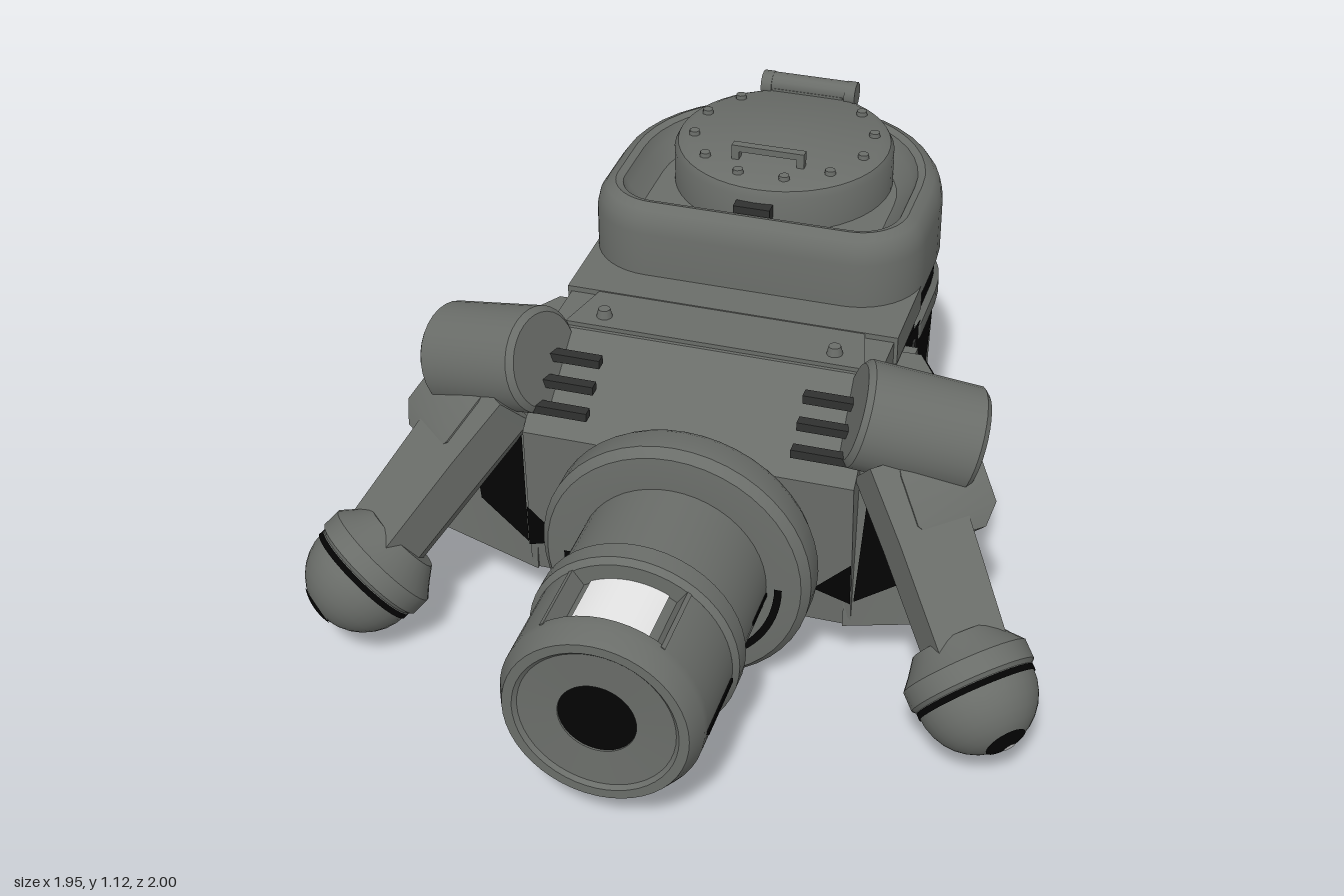
import * as THREE from 'three';
import { toCreasedNormals } from 'three/addons/utils/BufferGeometryUtils.js';

const mat = (name, color, side = THREE.FrontSide) => {
  const m = new THREE.MeshStandardMaterial({ color, side });
  m.name = name;
  return m;
};
const V = (x, y, z) => new THREE.Vector3(x, y, z);

export function createModel() {
  const grey = mat('armourGrey', 0x6a6d69);
  const dark = mat('baseDark', 0x303130);
  const black = mat('sootBlack', 0x030303, THREE.DoubleSide);
  const white = mat('lensWhite', 0xe8e8e8);
  const model = new THREE.Group();

  const add = (name, geo, m = grey, pos = [0, 0, 0], parent = model) => {
    const mesh = new THREE.Mesh(geo, m);
    mesh.name = name;
    mesh.position.set(...pos);
    parent.add(mesh);
    return mesh;
  };
  const box = (name, w, h, d, pos, m = grey, parent = model) =>
    add(name, new THREE.BoxGeometry(w, h, d), m, pos, parent);
  const lathe = (pts, seg = 48) => toCreasedNormals(
    new THREE.LatheGeometry(pts.map(p => new THREE.Vector2(p[0], p[1])), seg), 0.6);
  // Triangles between rings of equal length, wound outward from bottom to top
  const skin = rings => {
    const n = rings[0].length, index = [];
    for (let k = 0; k < rings.length - 1; k++) for (let j = 0; j < n; j++) {
      const a = k * n + j, b = k * n + (j + 1) % n;
      index.push(a, b, b + n, a, b + n, a + n);
    }
    const g = new THREE.BufferGeometry().setFromPoints(rings.flat());
    g.setIndex(index);
    return toCreasedNormals(g, 0.6);
  };
  // Rounded plan outline lofted through [inset, y] pairs, closed at both ends
  const loft = (w, zf, zb, rf, rb, profile) => {
    const corners = [[w - rf, zf - rf, rf], [w - rb, zb + rb, rb], [rb - w, zb + rb, rb], [rf - w, zf - rf, rf]];
    const ring = (inset, y) => corners.flatMap(([cx, cz, r], q) =>
      Array.from({ length: 11 }, (_, i) => {
        const t = (q + i / 10) * Math.PI / 2;
        return V(cx + (r - inset) * Math.sin(t), y, cz + (r - inset) * Math.cos(t));
      }));
    const cap = y => ring(0, y).map(() => V(0, y, (zf + zb) / 2));
    const last = profile[profile.length - 1][1];
    return skin([cap(profile[0][1]), ...profile.map(p => ring(...p)), cap(last)]);
  };
  // Flat convex painted patch
  const patch = (name, pts, parent = model) => {
    const g = new THREE.BufferGeometry().setFromPoints(pts.map(p => V(...p)));
    g.setIndex(pts.slice(2).flatMap((_, i) => [0, i + 1, i + 2]));
    g.computeVertexNormals();
    add(name, g, black, [0, 0, 0], parent);
  };

  // Turntable
  add('baseRing', lathe([[0, 0.09], [0.42, 0.09], [0.45, 0.12], [0.45, 0.19], [0, 0.19]]), dark, [0, 0, -0.29]);

  // Rear body, soot band, rim and top bowl
  add('rearBody', loft(0.44, -0.2, -0.98, 0.13, 0.38,
    [[0.11, 0.175], [0.06, 0.19], [0.025, 0.23], [0.01, 0.3], [0, 0.66]]));
  add('bodyRim', loft(0.45, -0.4, -0.985, 0.03, 0.38, [[0.01, 0.63], [0, 0.645], [0, 0.69], [0.02, 0.71]]));
  add('neckBand', loft(0.435, -0.23, -0.975, 0.13, 0.37, [[0, 0.64], [0, 0.81]]), black);
  add('topBowl', loft(0.452, -0.24, -1, 0.18, 0.42, [[0.03, 0.775], [0, 0.8], [0, 0.95], [0.008, 0.985],
    [0.025, 1.01], [0.05, 1.022], [0.07, 1.015], [0.085, 0.985], [0.125, 0.95]]));

  // Hatch with bolts, handle and hinge
  add('hatch', lathe([[0.3, 0.93], [0.3, 1.045], [0.29, 1.065], [0.265, 1.078], [0, 1.082]]), grey, [0, 0, -0.65]);
  for (let i = 0; i < 12; i++) {
    const t = (i + 0.5) * Math.PI / 6;
    if (i === 5 || i === 6) continue;
    add('hatchBolt', new THREE.CylinderGeometry(0.014, 0.017, 0.02, 8), grey,
      [0.245 * Math.sin(t), 1.08, -0.65 + 0.245 * Math.cos(t)]);
  }
  box('hatchHandle', 0.2, 0.018, 0.024, [0, 1.112, -0.49]);
  for (const s of [-1, 1]) {
    box('handlePost', 0.02, 0.045, 0.024, [s * 0.09, 1.09, -0.49]);
    add('hingeKnuckle', new THREE.CylinderGeometry(0.036, 0.036, 0.03, 12).rotateZ(Math.PI / 2), grey, [s * 0.12, 1.085, -0.92]);
  }
  add('hatchHinge', new THREE.CylinderGeometry(0.03, 0.03, 0.23, 12).rotateZ(Math.PI / 2), grey, [0, 1.09, -0.92]);
  box('hingeLeaf', 0.2, 0.05, 0.07, [0, 1.06, -0.925]);
  box('hatchLatch', 0.1, 0.06, 0.05, [0, 1.0, -0.345], dark);

  // Rear louvre
  patch('louvreBack', [[-0.21, 0.28, -0.982], [0.21, 0.28, -0.982], [0.21, 0.56, -0.982], [-0.21, 0.56, -0.982]]);
  for (let i = 0; i < 4; i++) box('louvreSlat', 0.4, 0.026, 0.024, [0, 0.32 + i * 0.065, -0.978]).rotation.x = 0.4;
  for (const s of [-1, 1]) box('louvreFrame', 0.022, 0.32, 0.06, [s * 0.215, 0.425, -0.955]);

  // Front hull: side profile extruded across the width
  const side = new THREE.Shape([[0.3, 0.17], [0.3, 0.81], [-0.04, 0.81], [-0.27, 0.62], [-0.25, 0.17]]
    .map(p => new THREE.Vector2(...p)));
  add('frontHull', new THREE.ExtrudeGeometry(side, { depth: 0.88, bevelEnabled: false })
    .translate(0, 0, -0.44).rotateY(Math.PI / 2));
  box('deckSlab', 0.9, 0.08, 0.28, [0, 0.785, -0.27]);
  const deck = new THREE.Shape([[-0.4, -0.03], [0.4, -0.03], [0.36, 0.14], [-0.36, 0.14]].map(p => new THREE.Vector2(...p)));
  add('deckPlate', new THREE.ExtrudeGeometry(deck, { depth: 0.012, bevelEnabled: false })
    .rotateX(-Math.PI / 2), grey, [0, 0.81, 0]);

  for (const s of [-1, 1]) {
    add('deckBolt', new THREE.CylinderGeometry(0.016, 0.022, 0.025, 10), grey, [s * 0.31, 0.832, -0.02]);
    for (let i = 0; i < 3; i++)
      box('hullVent', 0.17, 0.024, 0.03, [s * 0.355, 0.733 - (i - 1) * 0.046, 0.13 + i * 0.055], dark);
    box('sideRib', 0.035, 0.55, 0.035, [s * 0.465, 0.46, -0.22]);
    box('rearRib', 0.02, 0.5, 0.02, [s * 0.442, 0.43, -0.35], dark);
    // Soot on the flanks and hull front
    patch('flankSoot', [[0.22, -0.24], [0.22, -0.45], [0.63, -0.59], [0.7, -0.42], [0.74, -0.24]]
      .map(([y, z]) => [s * 0.446, y, z]));
    patch('hullFrontSoot', [[s * 0.44, 0.25, 0.264], [s * 0.34, 0.28, 0.264], [s * 0.44, 0.38, 0.268]]);
    // Streaks along the barrel sides
    box('barrelStreak', 0.01, 0.012, 0.2, [s * 0.257, 0.335, 0.83], black);
    box('tubeStreak', 0.01, 0.012, 0.12, [s * 0.247, 0.335, 0.45], black);
  }

  // Arms, built on +x and mirrored
  const buildArm = name => {
    const arm = new THREE.Group();
    arm.name = name;
    const low = [[0.42, 0.26], [0.72, 0.16], [0.5, -0.2], [0.42, -0.2]];
    const high = [[0.42, 0.21], [0.665, 0.07], [0.5, -0.2], [0.42, -0.2]];
    const ring = (p, y) => p.map(([x, z]) => V(x, y, z));
    const mid = (p, y) => p.map(() => V(0.5, y, 0));
    add('sponson', skin([mid(low, 0.17), ring(low, 0.17), ring(high, 0.74), mid(high, 0.74)]), grey, [0, 0, 0], arm);

    // Soot on the sponson: u runs back to front, v bottom to top
    const onSide = ([u, v]) => {
      const k = u * (1 - 0.25 * v);
      return [0.505 + 0.22 * k, 0.17 + 0.57 * v, -0.203 + 0.36 * k];
    };
    const soot = [
      [[0, 0.52], [1, 0.58], [1, 0.99], [0, 0.99]],
      [[0, 0.52], [0.03, 0.22], [0.2, 0.53]],
      [[0.35, 0.54], [0.5, 0.36], [0.56, 0.56]],
      [[0.65, 0.56], [0.88, 0.2], [0.95, 0.58]],
    ];
    for (const shape of soot) patch('sponsonSideSoot', shape.map(onSide), arm);
    patch('sponsonFrontSoot', [[0.446, 0.25, 0.252], [0.6, 0.32, 0.192], [0.62, 0.42, 0.17], [0.47, 0.66, 0.207]], arm);

    // Shoulder drum
    const drum = add('shoulder', lathe([[0, -0.16], [0.125, -0.16], [0.14, -0.145], [0.14, 0.145], [0.125, 0.16], [0, 0.16]], 32),
      grey, [0.555, 0.74, 0.125], arm);
    drum.quaternion.setFromUnitVectors(V(0, 1, 0), V(0.92, -0.28, -0.27).normalize());

    // Limb frame: y runs down the limb, z faces forward and up
    const start = V(0.53, 0.66, 0.18), end = V(0.82, 0.235, 0.49);
    const dir = end.clone().sub(start), len = dir.length();
    dir.normalize();
    const across = V(0.77, 0, -0.63);
    across.addScaledVector(dir, -across.dot(dir)).normalize();
    const out = across.clone().cross(dir);
    const limb = new THREE.Group();
    limb.name = 'limb';
    limb.position.copy(start);
    limb.quaternion.setFromRotationMatrix(new THREE.Matrix4().makeBasis(across, dir, out));
    arm.add(limb);
    const section = (w, d, y) => [[w * 0.6, d], [w, d * 0.4], [w, -d], [-w, -d], [-w, d * 0.4], [-w * 0.6, d]]
      .map(([x, z]) => V(x, y, z));
    const beam = (partName, list, x) => {
      const rings = list.map(p => section(...p));
      const end0 = section(0, 0, list[0][2]), end1 = section(0, 0, list[list.length - 1][2]);
      add(partName, skin([end0, ...rings, end1]), grey, [x, 0, 0], limb);
    };
    beam('armBeam', [[0.11, 0.085, 0], [0.1, 0.085, 0.2], [0.09, 0.08, len]], 0);
    beam('elbowBlock', [[0.1, 0.08, 0], [0.11, 0.09, 0.04], [0.11, 0.09, 0.17], [0.07, 0.07, 0.22]], 0.07);
    box('armRidge', 0.07, len * 0.7, 0.03, [0, len * 0.5, 0.08], grey, limb);

    // Round foot with collar, turned outward from the limb
    const foot = new THREE.Group();
    foot.name = 'footGroup';
    foot.position.copy(end);
    foot.quaternion.setFromUnitVectors(V(0, 1, 0), V(0.56, -0.58, 0.55).normalize());
    arm.add(foot);
    const pts = [[0, -0.14], [0.11, -0.14], [0.14, -0.1], [0.166, -0.07], [0.166, -0.02], [0.155, -0.01]];
    for (let i = 0; i <= 8; i++) {
      const t = i / 8 * Math.PI / 2;
      pts.push([0.155 * Math.cos(t), 0.155 * Math.sin(t)]);
    }
    add('foot', lathe(pts, 32), grey, [0, 0, 0], foot);
    add('collarSoot', new THREE.CylinderGeometry(0.1575, 0.1575, 0.016, 32, 1, true), black, [0, 0, 0], foot);
    const port = (partName, r, angle, m, d) => add(partName,
      new THREE.SphereGeometry(r, 24, 5, 0, Math.PI * 2, 0, angle), m, end.toArray(), arm)
      .quaternion.setFromUnitVectors(V(0, 1, 0), V(...d).normalize());
    port('footPort', 0.158, 0.36, black, [0.62, -0.35, 0.62]);
    port('footLens', 0.161, 0.1, white, [0.68, -0.45, 0.6]);
    return arm;
  };
  const left = buildArm('leftArm'), right = buildArm('rightArm');
  right.scale.x = -1;
  model.add(left, right);

  // Barrel along z
  const barrel = new THREE.Group();
  barrel.name = 'barrel';
  barrel.position.y = 0.36;
  barrel.rotation.x = Math.PI / 2;
  model.add(barrel);
  const part = (name, geo, m = grey, y = 0) => add(name, geo, m, [0, y, 0], barrel);
  part('barrelFlange', lathe([[0, 0.22], [0.31, 0.24], [0.35, 0.27], [0.36, 0.29], [0.36, 0.36], [0.34, 0.385], [0.29, 0.39], [0.24, 0.39]]));
  part('flangeSoot', new THREE.RingGeometry(0.272, 0.292, 40, 1, Math.PI, Math.PI).rotateX(-Math.PI / 2), black, 0.394);
  part('barrelTube', lathe([[0.25, 0.36], [0.25, 0.64], [0.272, 0.65], [0.272, 0.705], [0.258, 0.72], [0.2, 0.72]]));
  part('barrelCore', new THREE.CylinderGeometry(0.212, 0.212, 0.22, 40), grey, 0.825);
  // Sleeve with an opening on top (local -z), and the lens inside it
  const gap = 0.62;
  part('barrelSleeve', new THREE.CylinderGeometry(0.258, 0.258, 0.21, 40, 1, true,
    Math.PI + gap, 2 * (Math.PI - gap)), grey, 0.825);
  for (const s of [-1, 1]) {
    const lip = box('sleeveLip', 0.012, 0.21, 0.05, [s * 0.235 * Math.sin(gap), 0.825, -0.235 * Math.cos(gap)], grey, barrel);
    lip.rotation.y = -s * gap;
  }
  part('lens', new THREE.CylinderGeometry(0.217, 0.217, 0.2, 16, 1, true, Math.PI - 0.48, 0.96), white, 0.82);
  part('muzzle', lathe([[0.2, 0.92], [0.258, 0.92], [0.258, 0.95], [0.235, 1], [0.21, 1], [0.2, 0.99], [0.1, 0.985], [0.1, 0.94]]));
  part('bore', new THREE.CylinderGeometry(0.1, 0.1, 0.01, 32), black, 0.975);

  return model;
}
